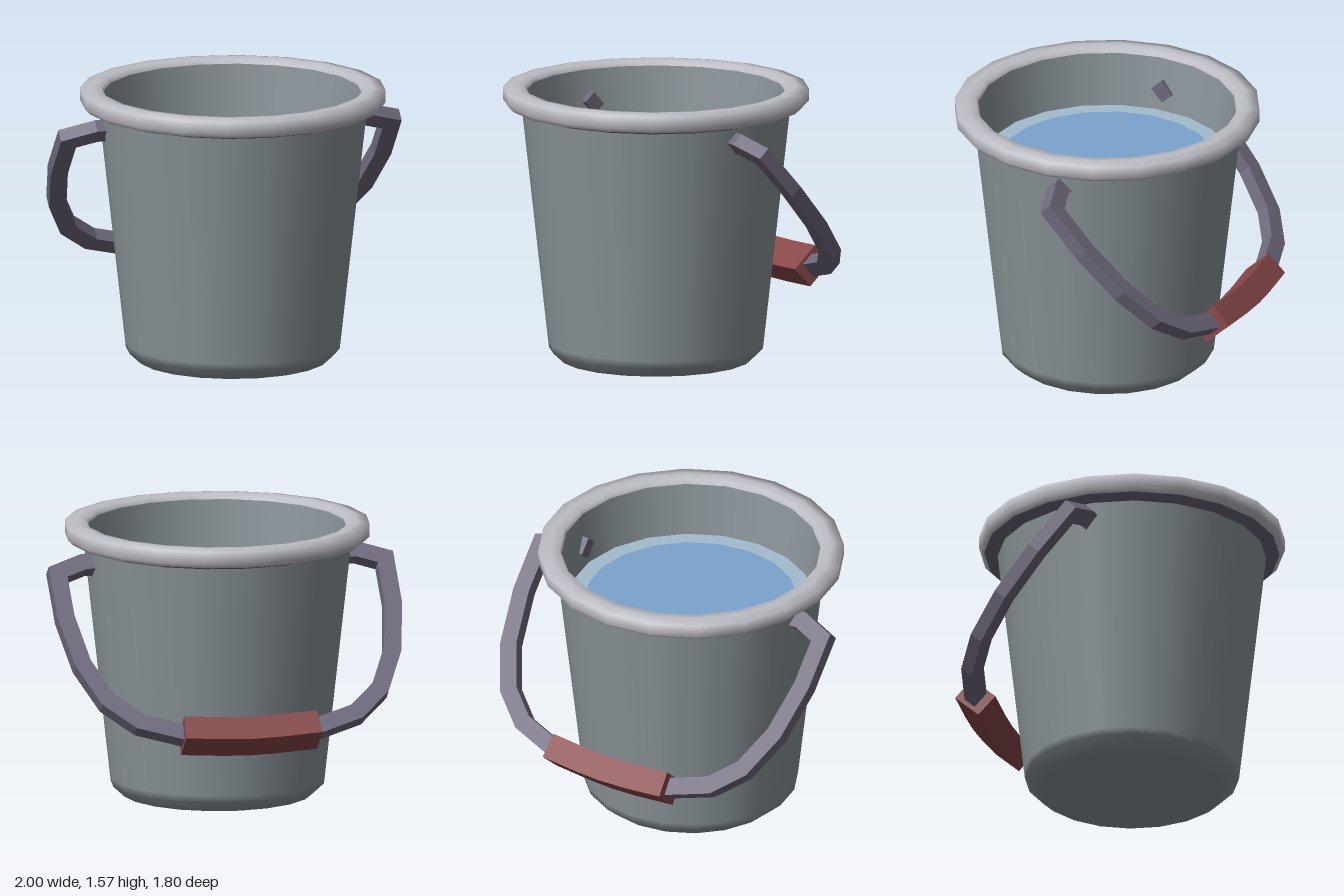
import * as THREE from 'three';

const SIDES = 20;
const mat = (name, color, side = THREE.FrontSide) => {
  const m = new THREE.MeshStandardMaterial({ color, side });
  m.name = name;
  return m;
};
const pts = (list) => list.map(([x, y]) => new THREE.Vector2(x, y));

// Closed outline around a mitred centre line of constant thickness
function bandShape(path, thickness) {
  const p = pts(path);
  const left = [], right = [];
  p.forEach((v, i) => {
    const a = p[Math.max(i - 1, 0)], b = p[Math.min(i + 1, p.length - 1)];
    const d1 = (i > 0 ? v.clone().sub(a) : b.clone().sub(v)).normalize();
    const d2 = (i < p.length - 1 ? b.clone().sub(v) : d1.clone()).normalize();
    const n1 = new THREE.Vector2(-d1.y, d1.x);
    const n = n1.clone().add(new THREE.Vector2(-d2.y, d2.x)).normalize();
    n.multiplyScalar(thickness / 2 / n.dot(n1));
    left.push(v.clone().add(n));
    right.unshift(v.clone().sub(n));
  });
  return new THREE.Shape([...left, ...right]);
}

// Flat-sided bar with a rectangular section following the path
function bar(path, thickness, width) {
  const g = new THREE.ExtrudeGeometry(bandShape(path, thickness), { depth: width, bevelEnabled: false });
  return g.translate(0, 0, -width / 2);
}

// Complete a path drawn on the +x half by mirroring it
const mirrored = (half) => [...half, ...half.slice(0, -1).reverse().map(([x, y]) => [-x, y])];

export function createModel() {
  const steel = mat('steel grey', 0x8a9499);
  const rimGrey = mat('pale rim grey', 0xbdbdc5);
  const iron = mat('purple iron', 0x6e697c);
  const gripRed = mat('grip red', 0x884848);
  const waterBlue = mat('water blue', 0x7ba4cf);
  const waterPale = mat('pale water', 0xa3bccd);

  const model = new THREE.Group();
  model.name = 'bucket';
  const add = (parent, name, geometry, material) => {
    const mesh = new THREE.Mesh(geometry, material);
    mesh.name = name;
    parent.add(mesh);
    return mesh;
  };

  // Pail: walls, rim and water share one axis
  const pail = new THREE.Group();
  pail.name = 'pail';
  pail.position.z = 0.04;
  model.add(pail);
  const lathe = (name, profile, material) =>
    add(pail, name, new THREE.LatheGeometry(pts(profile), SIDES), material);

  lathe('outerWall', [[0, 0], [0.5, 0], [0.54, 0], [0.605, 0.06], [0.61, 0.1], [0.76, 1.45]], steel);
  lathe('innerWall', [[0.732, 1.54], [0.72, 1.45], [0.69, 1.22]], steel);
  lathe('rimUnderside', [[0.755, 1.44], [0.835, 1.462]], iron);
  lathe('rim', [[0.835, 1.462], [0.865, 1.49], [0.865, 1.56], [0.8, 1.572], [0.745, 1.565], [0.732, 1.54]], rimGrey);

  const water = add(pail, 'water', new THREE.CircleGeometry(0.6, SIDES), waterBlue);
  const waterEdge = add(pail, 'waterEdge', new THREE.RingGeometry(0.6, 0.693, SIDES), waterPale);
  for (const m of [water, waterEdge]) {
    m.rotation.x = -Math.PI / 2;
    m.position.y = 1.235;
  }

  // Handle: hangs down behind the pail, its ends pass through the wall
  const handle = new THREE.Group();
  handle.name = 'handle';
  handle.position.set(0, 1.355, 0);
  handle.rotation.x = 0.734;
  model.add(handle);
  const bail = mirrored([
    [0.67, 0], [0.79, 0], [0.95, -0.06], [0.95, -0.35], [0.9, -0.66],
    [0.79, -0.91], [0.63, -1.06], [0.38, -1.145], [0, -1.165],
  ]);
  add(handle, 'handleBar', bar(bail, 0.1, 0.08), iron);
  const grip = mirrored([[0.39, -1.145], [0.15, -1.163], [0, -1.168]]);
  add(handle, 'grip', bar(grip, 0.145, 0.185), gripRed);

  return model;
}
